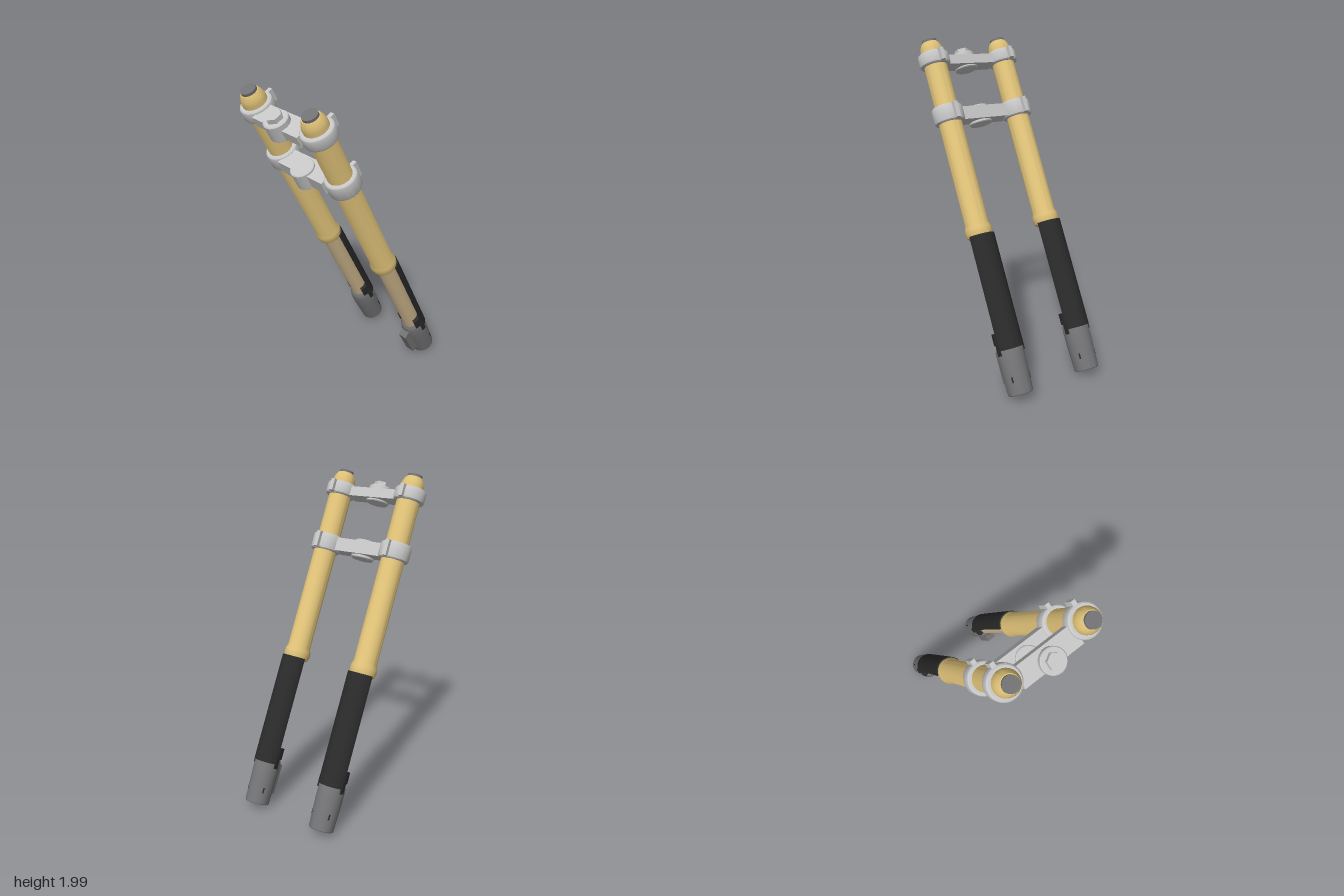
import * as THREE from 'three';
import { toCreasedNormals } from 'three/addons/utils/BufferGeometryUtils.js';

const material = (name, color) => {
  const m = new THREE.MeshStandardMaterial({ color });
  m.name = name;
  return m;
};

export function createModel() {
  const gold = material('gold', 0xdcbf76);
  const tan = material('tan', 0xcdb58c);
  const black = material('black', 0x2a2a2a);
  const darkGrey = material('dark grey', 0x727274);
  const silver = material('silver', 0xc6c6c6);

  const model = new THREE.Group();
  model.name = 'frontFork';

  // Raked frame: local y runs up the legs, local x points forward
  const rake = new THREE.Group();
  rake.name = 'rakedAssembly';
  rake.rotation.z = THREE.MathUtils.degToRad(26.4);
  rake.position.set(0.484, 0.037, 0);
  model.add(rake);

  const add = (parent, name, geometry, mat, x = 0, y = 0, z = 0) => {
    const mesh = new THREE.Mesh(geometry, mat);
    mesh.name = name;
    mesh.position.set(x, y, z);
    parent.add(mesh);
    return mesh;
  };

  // Turned part from [radius, height] pairs, listed bottom to top
  const turned = (points, sides = 48) => toCreasedNormals(
    new THREE.LatheGeometry(points.map(([r, y]) => new THREE.Vector2(r, y)), sides), 0.5);

  // Curved shell open to the rear, spanning +-half angle about +x
  const shell = (inner, outer, half, length) => {
    const s = new THREE.Shape();
    s.absarc(0, 0, outer, -half, half, false);
    s.absarc(0, 0, inner, half, -half, true);
    s.closePath();
    const g = new THREE.ExtrudeGeometry(s, { depth: length, bevelEnabled: false, curveSegments: 32 });
    g.rotateX(-Math.PI / 2);
    return toCreasedNormals(g, 0.5);
  };

  const ring = (y0, y1) => turned([
    [0.066, y0], [0.085, y0], [0.092, y0 + 0.006], [0.095, y0 + 0.015],
    [0.095, y1 - 0.015], [0.092, y1 - 0.006], [0.085, y1], [0.066, y1],
  ]);

  const clamps = [
    { name: 'upperClamp', y0: 2.0, y1: 2.08, bridge: [2.005, 2.064], boss: [1.993, 2.098] },
    { name: 'lowerClamp', y0: 1.635, y1: 1.738, bridge: [1.645, 1.727], boss: [1.628, 1.742] },
  ];

  // Two legs
  for (const side of [1, -1]) {
    const leg = new THREE.Group();
    leg.name = side > 0 ? 'leftLeg' : 'rightLeg';
    leg.position.z = side * 0.25;
    rake.add(leg);

    add(leg, 'axleLug', turned([
      [0, 0], [0.071, 0], [0.074, 0.004], [0.08, 0.17], [0.08, 0.255],
      [0.074, 0.285], [0.06, 0.302], [0, 0.302],
    ]), darkGrey);
    add(leg, 'lowerTube', new THREE.CylinderGeometry(0.056, 0.056, 0.66, 48, 1, true), tan, 0, 0.61);
    add(leg, 'outerTube', turned([
      [0, 0.918], [0.064, 0.918], [0.076, 0.93], [0.082, 0.955], [0.08, 0.98], [0.071, 1.005],
      [0.071, 2.1], [0.067, 2.12], [0.058, 2.14], [0.05, 2.152], [0, 2.152],
    ]), gold);
    add(leg, 'topCap', new THREE.CylinderGeometry(0.045, 0.045, 0.03, 32), darkGrey, 0, 2.153);

    // Guard and its wrap-around clip
    add(leg, 'guard', shell(0.077, 0.087, 1.33, 0.675), black, 0, 0.262);
    add(leg, 'guardClip', shell(0.056, 0.081, 2.0, 0.07), black, 0, 0.292);
    for (const z of [-1, 1]) {
      add(leg, 'guardTab', new THREE.BoxGeometry(0.03, 0.07, 0.008), black, 0.015, 0.268, z * 0.081);
      // Small slots on the lug sides
      const slot = add(leg, 'lugSlot', new THREE.BoxGeometry(0.009, 0.034, 0.004), black, 0.047, 0.09, z * 0.06);
      slot.rotation.y = z * 0.665;
    }

    // Clamp rings and pinch tabs
    for (const c of clamps) {
      add(leg, c.name + 'Ring', ring(c.y0, c.y1), silver);
      add(leg, c.name + 'Tab', new THREE.BoxGeometry(0.035, c.y1 - c.y0 - 0.006, 0.026), silver,
        0.1, (c.y0 + c.y1) / 2);
    }

    // Brake bracket on the rear of the left leg
    if (side > 0) {
      const s = new THREE.Shape([[-0.04, 0.058], [-0.04, 0.27], [-0.085, 0.26], [-0.118, 0.245], [-0.112, 0.062]]
        .map(([x, y]) => new THREE.Vector2(x, y)));
      add(leg, 'brakeBracket', new THREE.ExtrudeGeometry(s, { depth: 0.06, bevelEnabled: false }),
        darkGrey, 0, 0, -0.03);
    }
  }

  // Bridges between the legs with their steering bosses
  for (const c of clamps) {
    const [b0, b1] = c.bridge, [s0, s1] = c.boss;
    add(rake, c.name + 'Bridge', new THREE.BoxGeometry(0.118, b1 - b0, 0.37), silver, -0.029, (b0 + b1) / 2);
    add(rake, c.name + 'Boss', turned([
      [0, s0], [0.066, s0], [0.071, s0 + 0.005], [0.071, s1 - 0.005], [0.066, s1], [0, s1],
    ]), silver, -0.056);
  }
  const nut = add(rake, 'stemNut', toCreasedNormals(new THREE.CylinderGeometry(0.047, 0.047, 0.032, 6), 0.5),
    silver, -0.056, 2.11);
  nut.rotation.y = Math.PI / 6;

  return model;
}
